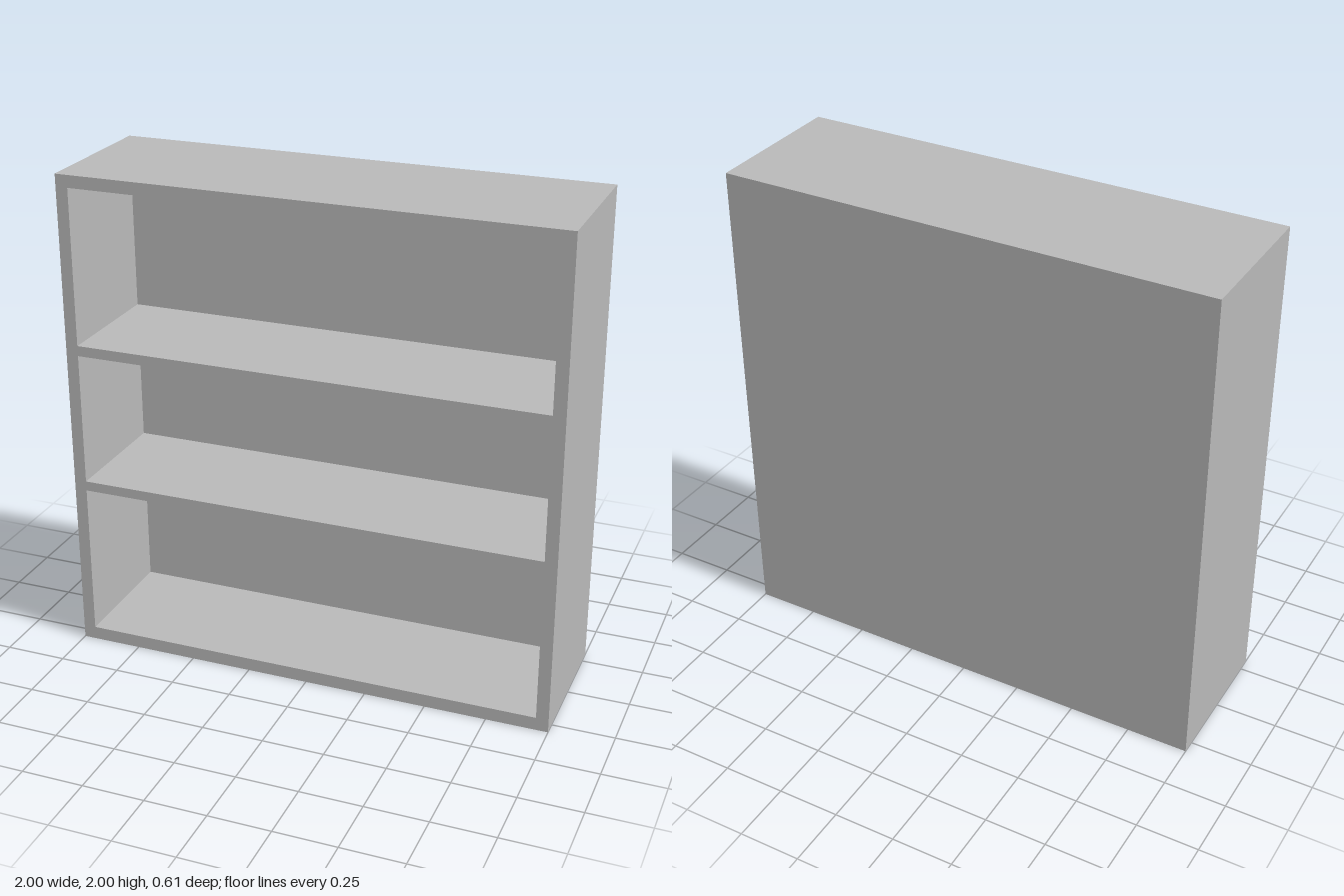
import * as THREE from 'three';

const HALF_DEPTH = 0.305;
const BACK_INNER = -0.21; // inner face of the back panel

// Rectangle path, counter-clockwise
function rect(path, x, y0, y1) {
  path.moveTo(-x, y0);
  path.lineTo(x, y0);
  path.lineTo(x, y1);
  path.lineTo(-x, y1);
  path.closePath();
  return path;
}

export function createModel() {
  const model = new THREE.Group();
  model.name = 'bookcase';

  const grey = new THREE.MeshStandardMaterial({ color: 0xb8b8b8 });
  grey.name = 'grey';

  // Frame and two shelves, flush at the front, around three open bays
  const outline = rect(new THREE.Shape(), 1, 0, 2);
  const bays = [[0.054, 0.69], [0.73, 1.273], [1.315, 1.95]];
  for (const [y0, y1] of bays) outline.holes.push(rect(new THREE.Path(), 0.95, y0, y1));
  const frame = new THREE.Mesh(
    new THREE.ExtrudeGeometry(outline, { depth: HALF_DEPTH - BACK_INNER, bevelEnabled: false }),
    grey
  );
  frame.position.z = BACK_INNER;
  frame.name = 'frameAndShelves';
  model.add(frame);

  // Solid back closing the bays
  const thickness = BACK_INNER + HALF_DEPTH;
  const back = new THREE.Mesh(new THREE.BoxGeometry(2, 2, thickness), grey);
  back.position.set(0, 1, -HALF_DEPTH + thickness / 2);
  back.name = 'backPanel';
  model.add(back);

  return model;
}
